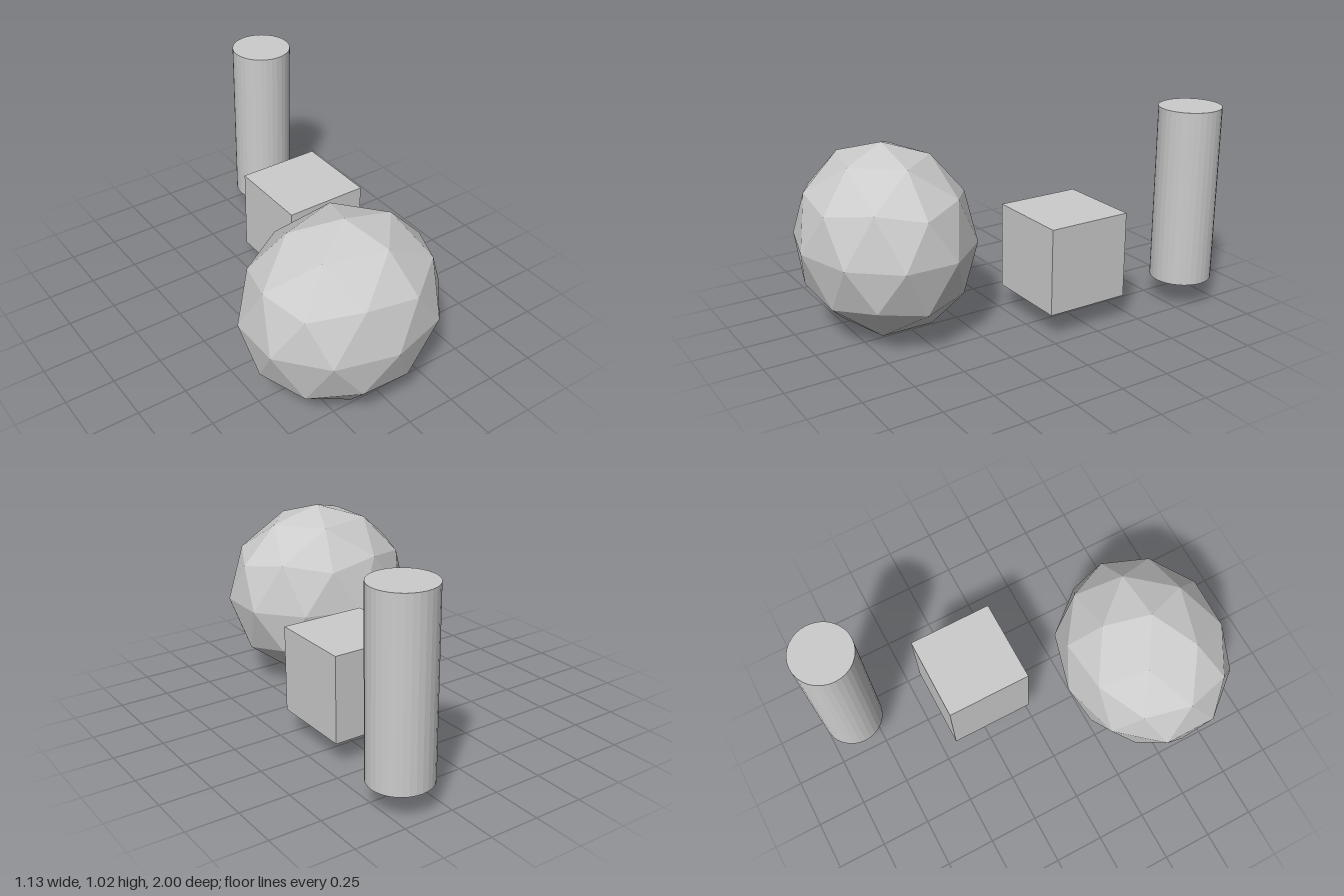
import * as THREE from 'three';

export function createModel() {
  const group = new THREE.Group();
  const material = new THREE.MeshStandardMaterial({ color: 0xcccccc, flatShading: true });

  const addPart = (name, geometry, x, y, z) => {
    const mesh = new THREE.Mesh(geometry, material);
    mesh.name = name;
    mesh.position.set(x, y, z);
    group.add(mesh);
  };

  // Faceted ball: icosphere turned to stand on a corner, then stretched
  const ball = new THREE.IcosahedronGeometry(1, 1);
  ball.rotateZ(-Math.atan(2 / (1 + Math.sqrt(5))));
  ball.scale(0.496, 0.467, 0.422);
  ball.computeVertexNormals();
  addPart('ball', ball, -0.097, 0.467, 0.578);

  // Floating cube
  addPart('cube', new THREE.BoxGeometry(0.43, 0.43, 0.43), 0.245, 0.344, -0.217);

  // Upright column
  addPart('column', new THREE.CylinderGeometry(0.154, 0.154, 0.886, 32), 0.411, 0.577, -0.846);

  return group;
}
